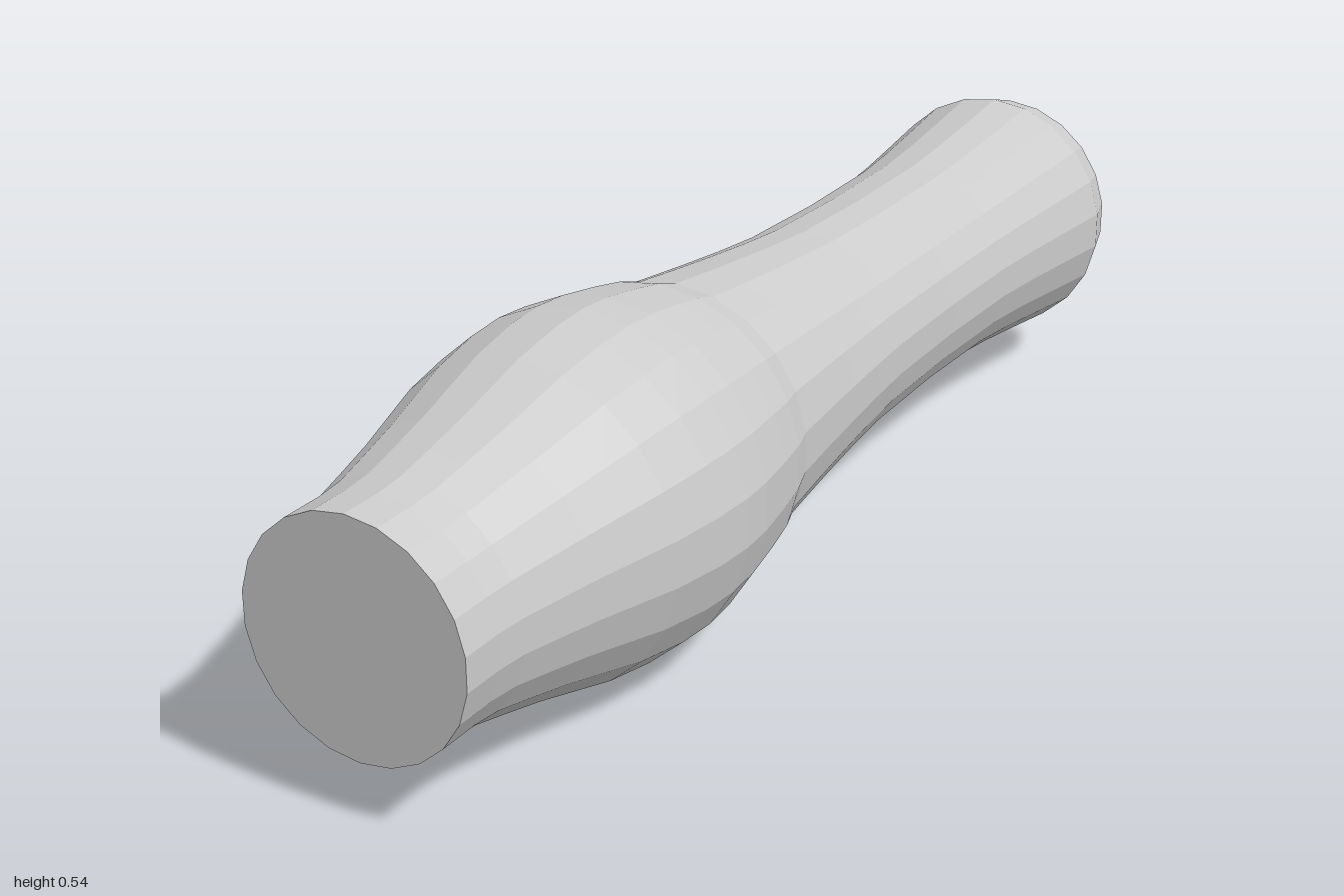
import * as THREE from 'three';

export function createModel() {
  const group = new THREE.Group();
  group.name = 'turnedHandle';

  // Half-profile from the back end to the front end: [radius, z]
  const profile = [
    [0, -1], [0.198, -1], [0.218, -0.93], [0.203, -0.8], [0.192, -0.7],
    [0.184, -0.6], [0.181, -0.4], [0.185, -0.2], [0.193, -0.1], [0.203, 0],
    [0.214, 0.1], [0.226, 0.2], [0.242, 0.25], [0.254, 0.31], [0.267, 0.39],
    [0.271, 0.45], [0.267, 0.52], [0.252, 0.61], [0.233, 0.68], [0.214, 0.75],
    [0.198, 0.82], [0.185, 0.88], [0.181, 0.93], [0.181, 1], [0, 1],
  ].map(([r, z]) => new THREE.Vector2(r, z));

  // Solid of revolution laid along z, with flat ends
  const geometry = new THREE.LatheGeometry(profile, 22);
  geometry.rotateX(Math.PI / 2);
  const handle = new THREE.Mesh(
    geometry,
    new THREE.MeshStandardMaterial({ color: 0xcccccc, flatShading: true })
  );
  handle.name = 'handleBody';
  handle.position.y = 0.272;
  group.add(handle);
  return group;
}
